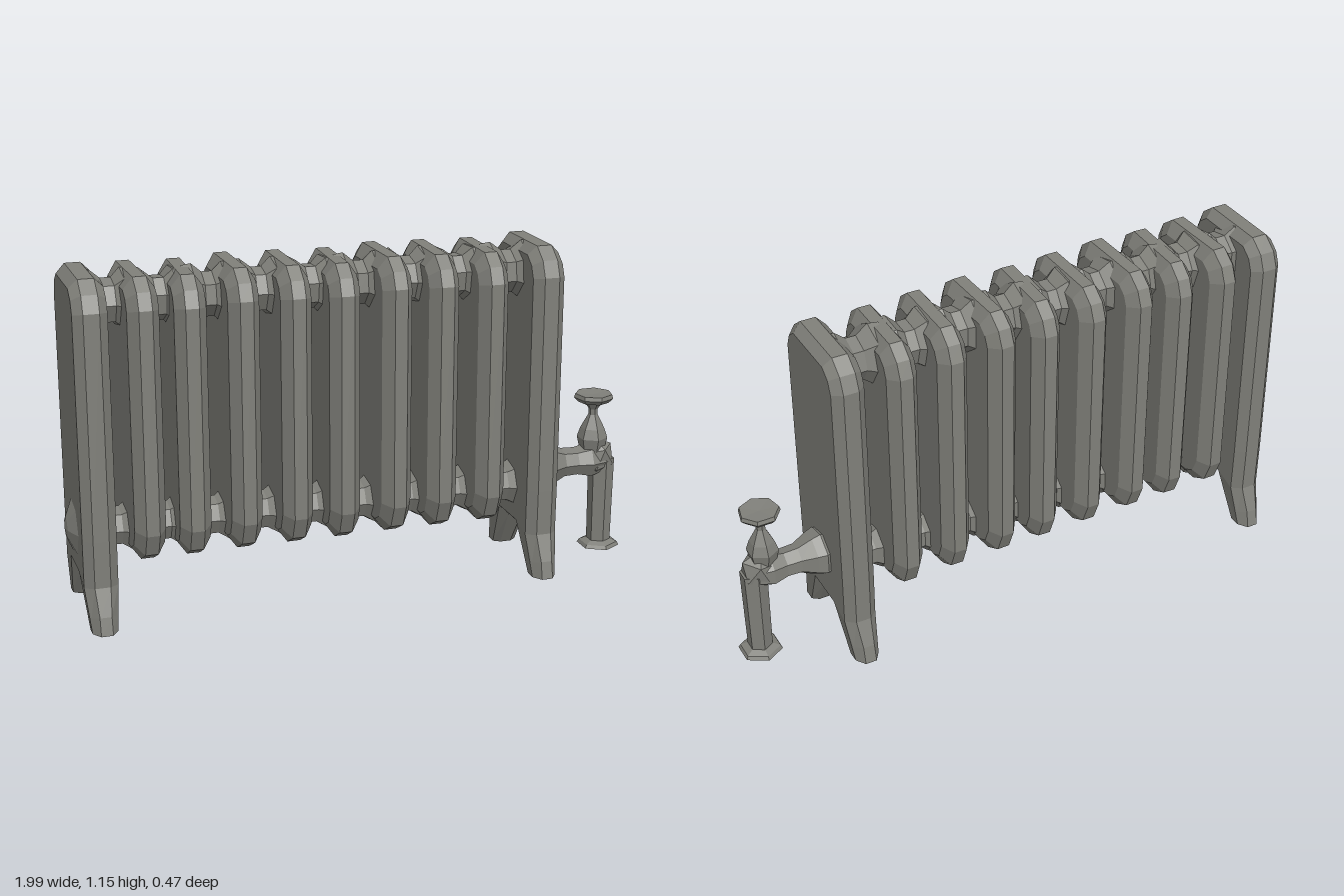
import * as THREE from 'three';

const iron = new THREE.MeshStandardMaterial({ color: 0x80807a, flatShading: true });
iron.name = 'cast iron grey';

function part(parent, name, geometry, x = 0, y = 0, z = 0) {
  const mesh = new THREE.Mesh(geometry, iron);
  mesh.name = name;
  mesh.position.set(x, y, z);
  parent.add(mesh);
  return mesh;
}

// Chamfered slab: half outline in (z, y), mirrored, extruded along x
function slab(half, halfWidth, bevel, thickness) {
  const mirrored = half.map(([z, y]) => [-z, y]).reverse();
  const shape = new THREE.Shape([...half, ...mirrored].map(([z, y]) => new THREE.Vector2(z, y)));
  const depth = 2 * (halfWidth - thickness);
  const g = new THREE.ExtrudeGeometry(shape, {
    depth, bevelEnabled: true, bevelSegments: 1,
    bevelSize: bevel, bevelOffset: -bevel, bevelThickness: thickness,
  });
  g.translate(0, 0, -depth / 2);
  g.rotateY(Math.PI / 2);
  return g;
}

const shoulder = [[0.195, 1.06], [0.172, 1.115], [0.12, 1.155]];

function innerFin() {
  return slab([[0.1, 0.2], [0.165, 0.235], [0.195, 0.31], ...shoulder], 0.052, 0.042, 0.03);
}

// End fins carry two splayed feet below an arch, and narrow toward the floor
function endFin() {
  const g = slab([[0.06, 0.14], [0.145, 0], [0.235, 0], [0.222, 0.06], [0.19, 0.15], [0.193, 0.31], ...shoulder],
    0.056, 0.03, 0.03);
  const p = g.attributes.position;
  for (let i = 0; i < p.count; i++) {
    const y = p.getY(i);
    if (y < 0.1) p.setX(i, p.getX(i) * 0.75);
    if (y < 0.04) p.setY(i, 0);
  }
  g.computeVertexNormals();
  return g;
}

// Faceted turned piece along y, or laid along x
function turned(points, sides, alongX = false) {
  const g = new THREE.LatheGeometry(points.map(([r, y]) => new THREE.Vector2(r, y)), sides);
  if (alongX) g.rotateZ(-Math.PI / 2); // y becomes x
  return g;
}

export function createModel() {
  const model = new THREE.Group();
  model.name = 'radiator';

  // Ten fins, with slightly uneven casting
  const xs = [-0.915, -0.75, -0.59, -0.425, -0.25, -0.08, 0.09, 0.26, 0.435, 0.625];
  const inner = innerFin();
  const end = endFin();
  xs.forEach((x, i) => {
    const isEnd = i === 0 || i === xs.length - 1;
    const fin = part(model, isEnd ? 'endFin' : 'fin', isEnd ? end : inner, x);
    if (!isEnd) {
      fin.rotation.y = 0.035 * Math.sin(i * 2.3);
      fin.scale.y = 1 - 0.004 * (i % 3);
    }
  });

  // Waisted connectors joining the fins at top and bottom
  for (let i = 0; i < xs.length - 1; i++) {
    const x = (xs[i] + xs[i + 1]) / 2;
    const h = (xs[i + 1] - xs[i]) / 2;
    const top = turned([[0.1, -h], [0.105, -h * 0.6], [0.075, -0.015], [0.075, 0.02], [0.105, h * 0.6], [0.1, h]], 7, true);
    part(model, 'topConnector', top, x, 1.05).rotation.x = i * 0.6;
    const low = turned([[0.08, -h], [0.09, -h * 0.6], [0.065, -0.02], [0.065, 0.015], [0.09, h * 0.6], [0.08, h]], 7, true);
    part(model, 'bottomConnector', low, x, 0.287).rotation.x = i * 0.9;
  }

  // Shallow plug on the closed end
  part(model, 'endPlug', turned([[0, -1], [0.035, -0.995], [0.11, -0.965], [0.11, -0.95]], 7, true).scale(1, 1, 1), 0, 0.3);

  // Valve on the other end
  const valve = new THREE.Group();
  valve.name = 'valve';
  model.add(valve);
  part(valve, 'inletPipe', turned([[0.07, 0.66], [0.085, 0.69], [0.075, 0.72], [0.052, 0.77], [0.05, 0.82],
    [0.062, 0.87], [0.045, 0.93], [0, 0.955]], 7, true), 0, 0.335);
  const elbow = part(valve, 'elbow', new THREE.IcosahedronGeometry(0.075, 0), 0.9, 0.345);
  elbow.scale.set(0.95, 1, 0.8);
  elbow.rotation.z = -0.4;
  part(valve, 'downPipe', new THREE.CylinderGeometry(0.046, 0.042, 0.32, 6), 0.925, 0.18);
  part(valve, 'floorFlange', turned([[0, 0.01], [0.075, 0.01], [0.068, 0.022], [0.045, 0.032], [0, 0.034]], 6), 0.925);
  part(valve, 'bonnet', turned([[0.04, 0.36], [0.054, 0.42], [0.042, 0.455], [0.016, 0.505], [0.016, 0.525],
    [0.036, 0.555]], 6), 0.886);
  part(valve, 'handwheel', turned([[0, 0.55], [0.055, 0.552], [0.07, 0.568], [0.066, 0.582], [0, 0.578]], 7), 0.886);

  return model;
}
